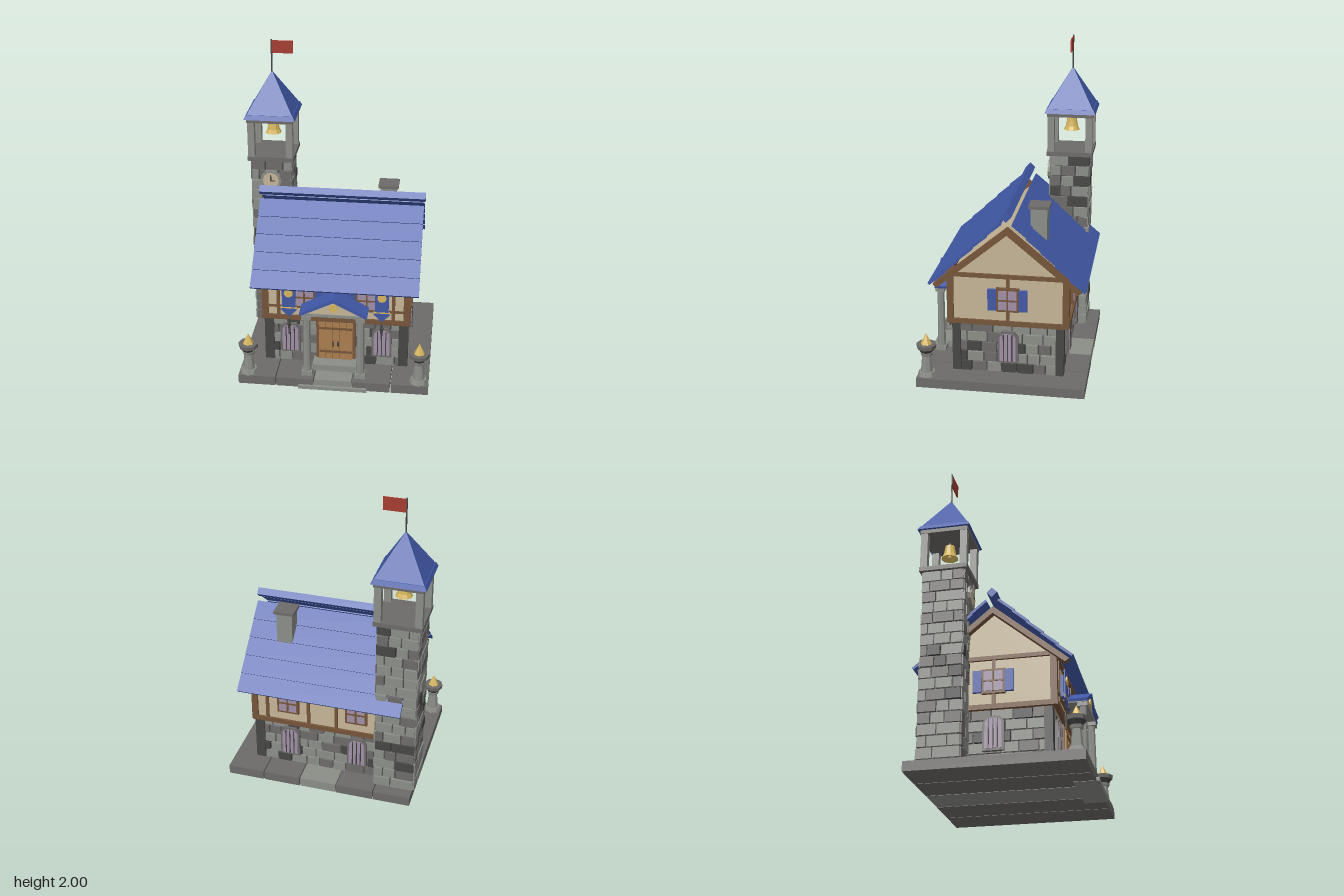
import * as THREE from 'three';
import { mergeGeometries } from 'three/addons/utils/BufferGeometryUtils.js';

const paint = (name, color) => {
  const m = new THREE.MeshStandardMaterial({ color });
  m.name = name;
  return m;
};

export function createModel() {
  const blue = paint('roofBlue', 0x4058a6), cream = paint('plaster', 0xc4b596), wood = paint('timber', 0x75543a);
  const plank = paint('doorWood', 0xab7d4f), light = paint('lightStone', 0x8b8d87), mid = paint('greyStone', 0x6d6b69);
  const dark = paint('darkStone', 0x464645), gold = paint('gold', 0xd6b65e), glass = paint('glass', 0xa08fa6), red = paint('flagRed', 0xa53c31);

  const model = new THREE.Group();
  const group = (name, parent, x = 0, y = 0, z = 0, ry = 0) => {
    const g = new THREE.Group();
    g.name = name;
    g.position.set(x, y, z);
    g.rotation.y = ry;
    parent.add(g);
    return g;
  };
  const add = (name, parent, geo, mat, x = 0, y = 0, z = 0) => {
    const m = new THREE.Mesh(geo, mat);
    m.name = name;
    m.position.set(x, y, z);
    parent.add(m);
    return m;
  };
  const box = (name, parent, mat, w, h, d, x, y, z) => add(name, parent, new THREE.BoxGeometry(w, h, d), mat, x, y, z);
  const faceted = (geo) => {
    const g = geo.toNonIndexed();
    g.computeVertexNormals();
    return g;
  };
  const drum = (name, parent, mat, top, bottom, y0, y1, sides, x = 0, z = 0, turn = 0) => {
    const g = new THREE.CylinderGeometry(top, bottom, y1 - y0, sides).rotateY(turn);
    return add(name, parent, faceted(g), mat, x, (y0 + y1) / 2, z);
  };
  const disc = (name, parent, mat, r, d, x, y, z, sides = 12) =>
    add(name, parent, faceted(new THREE.CylinderGeometry(r, r, d, sides).rotateX(Math.PI / 2)), mat, x, y, z);
  const outline = (pts) => new THREE.Shape(pts.map(([x, y]) => new THREE.Vector2(x, y)));
  const slab = (name, parent, mat, pts, depth, x = 0, y = 0, z = 0) =>
    add(name, parent, new THREE.ExtrudeGeometry(outline(pts), { depth, bevelEnabled: false }), mat, x, y, z);

  let seed = 7;
  const rand = () => (seed = (seed * 16807) % 2147483647) / 2147483647;

  // Courses of uneven stones around a rectangular dark core
  function masonry(name, parent, hx, hz, y0, y1, rows) {
    const g = group(name, parent);
    box('mortar', g, dark, 2 * hx - 0.03, y1 - y0, 2 * hz - 0.03, 0, (y0 + y1) / 2, 0);
    const piles = [[light, []], [mid, []], [dark, []]];
    const h = (y1 - y0) / rows;
    for (let r = 0; r < rows; r++) for (let s = 0; s < 4; s++) {
      const [half, depth] = s % 2 ? [hz, hx] : [hx, hz];
      let u = -half;
      while (u < half - 0.001) {
        let w = 0.07 + rand() * 0.06;
        if (u === -half && r % 2) w *= 0.6;
        if (half - u - w < 0.05) w = half - u;
        const t = 0.03 + rand() * 0.008, k = rand();
        const stone = new THREE.BoxGeometry(w - 0.008, h - 0.008, t);
        stone.translate(u + w / 2, y0 + (r + 0.5) * h, depth - 0.03 + t / 2);
        stone.rotateY(s * Math.PI / 2);
        piles[k < 0.55 ? 0 : k < 0.85 ? 1 : 2][1].push(stone);
        u += w;
      }
    }
    for (const [mat, list] of piles) add('stones', g, mergeGeometries(list), mat);
  }

  // Foundation of five slabs, with the front step
  const base = group('foundation', model);
  for (let i = 0; i < 5; i++)
    box('slab', base, i === 2 ? light : mid, 0.233, 0.06, i === 2 ? 1.025 : 1.029, 0.02 + (i - 2) * 0.2395, 0.032, -0.012);
  box('frontStep', base, light, 0.43, 0.022, 0.15, 0.02, 0.011, 0.445);

  // Main house
  const house = group('house', model, 0.02, 0, -0.042);
  masonry('lowerWall', house, 0.435, 0.33, 0.06, 0.39, 5);
  for (const sx of [-1, 1]) for (const sz of [-1, 1])
    box('cornerPost', house, dark, 0.06, 0.31, 0.05, sx * 0.425, 0.225, sz * 0.318);
  const gable = slab('upperWall', house, cream, [[-0.36, 0.39], [0.36, 0.39], [0.36, 0.68], [0, 0.985], [-0.36, 0.68]], 0.9, -0.45);
  gable.rotation.y = Math.PI / 2;
  for (const sx of [-1, 1]) {
    const barge = slab('bargeBoard', house, wood,
      [[-0.45, 0.645], [-0.425, 0.625], [0, 0.978], [0.425, 0.625], [0.45, 0.645], [0, 1.022]], 0.04, sx * 0.478 - 0.02);
    barge.rotation.y = Math.PI / 2;
    for (const sz of [-1, 1]) box('cornerTimber', house, wood, 0.04, 0.31, 0.04, sx * 0.443, 0.545, sz * 0.352);
  }

  // Overlapping roof boards and ridge
  const roof = group('roof', house);
  for (const sz of [-1, 1]) for (let i = 0; i < 5; i++) {
    const off = 0.04 + 0.0855 * (i + 0.5);
    const b = box('roofBoard', roof, blue, 1.032, 0.016, 0.122, 0, 1.055 - 0.945 * (off - 0.04), sz * off);
    b.rotation.x = sz * 0.7;
  }
  box('ridge', roof, blue, 1.048, 0.045, 0.045, 0, 1.1, 0).rotation.x = Math.PI / 4;

  // Mullioned upper window and barred lower window, facing +z
  function upperWindow(parent, x, y, shutters) {
    const g = group('window', parent, x, y, 0);
    box('frame', g, wood, 0.14, 0.152, 0.022, 0, 0, 0.008);
    box('pane', g, glass, 0.112, 0.122, 0.006, 0, 0, 0.021);
    box('mullion', g, wood, 0.01, 0.13, 0.008, 0, 0, 0.024);
    box('transom', g, wood, 0.12, 0.01, 0.008, 0, 0, 0.024);
    if (shutters) for (const s of [-1, 1]) box('shutter', g, blue, 0.052, 0.135, 0.018, s * 0.095, 0, 0.016);
  }
  const arch = (w, h) => [[-w, -h], [w, -h], [w, h - w * 0.5], [w * 0.6, h], [-w * 0.6, h], [-w, h - w * 0.5]];
  function lowerWindow(parent, x) {
    const g = group('barredWindow', parent, x, 0.24, 0);
    slab('frame', g, mid, arch(0.063, 0.103), 0.022);
    slab('pane', g, glass, arch(0.05, 0.09), 0.004, 0, 0, 0.022);
    for (const s of [-1, 0, 1]) box('bar', g, dark, 0.006, 0.175, 0.008, s * 0.026, 0, 0.026);
  }

  // Timbering and windows on each of the four sides
  for (let s = 0; s < 4; s++) {
    const end = s % 2 === 1, front = s === 0;
    const half = end ? 0.37 : 0.46, out = end ? 0.45 : 0.36;
    const side = group(['frontSide', 'leftSide', 'backSide', 'rightSide'][s], house, 0, 0, 0, s * Math.PI / 2);
    const upper = group('upperStorey', side, 0, 0, out), lower = group('lowerStorey', side, 0, 0, end ? 0.437 : 0.333);
    box('sillBeam', upper, wood, half * 2, 0.03, 0.03, 0, 0.4, 0);
    box('topBeam', upper, wood, half * 2, 0.025, 0.03, 0, 0.703, 0);
    const spots = end ? [0] : front ? [-0.195, 0.195] : [-0.22, 0.22];
    for (const x of spots) upperWindow(upper, x, 0.555, end || front);
    for (const x of end ? [0] : front ? [-0.29, 0.29] : spots) lowerWindow(lower, x);
    for (const x of end ? [0] : front ? [-0.36, -0.065, 0.065, 0.36] : [-0.36, -0.09, 0.09, 0.36])
      box('stud', upper, wood, 0.02, 0.29, 0.02, x, 0.55, 0);
    if (front) box('rail', upper, wood, 0.9, 0.014, 0.02, 0, 0.476, 0);
  }

  // Hanging banners with lantern brackets below
  for (const s of [-1, 1]) {
    const g = group('banner', house, s * 0.29, 0, 0.39);
    slab('cloth', g, blue, [[-0.042, 0.65], [-0.042, 0.485], [-0.05, 0.47], [0, 0.42], [0.05, 0.47], [0.042, 0.485], [0.042, 0.65]], 0.008);
    box('trim', g, gold, 0.1, 0.008, 0.008, 0, 0.485, 0.006);
    disc('emblem', g, gold, 0.028, 0.008, 0, 0.59, 0.011);
    drum('lanternStem', g, dark, 0.006, 0.006, 0.29, 0.4, 6);
    drum('lantern', g, dark, 0.014, 0.008, 0.335, 0.37, 6);
  }

  // Door
  const door = group('door', house, 0, 0, 0.335);
  box('doorFrame', door, wood, 0.25, 0.3, 0.03, 0, 0.245, 0);
  for (let i = 0; i < 5; i++) box('plank', door, plank, 0.041, 0.28, 0.02, (i - 2) * 0.0435, 0.24, 0.016);
  for (const y of [0.16, 0.33]) box('strap', door, wood, 0.21, 0.014, 0.008, 0, y, 0.027);
  for (const s of [-1, 1]) box('handle', door, dark, 0.01, 0.03, 0.014, s * 0.015, 0.22, 0.03);
  box('doorStep', door, light, 0.28, 0.045, 0.11, 0, 0.082, 0.05);

  // Porch with two columns and a small gabled roof
  const porch = group('porch', model, 0.02, 0, 0);
  slab('porchRoof', porch, blue, [[-0.21, 0.512], [-0.205, 0.495], [0, 0.598], [0.205, 0.495], [0.21, 0.512], [0, 0.622]], 0.145, 0, 0, 0.32);
  slab('pediment', porch, cream, [[-0.18, 0.505], [0.18, 0.505], [0, 0.596]], 0.13, 0, 0, 0.32);
  box('lintel', porch, light, 0.4, 0.018, 0.14, 0, 0.5, 0.388);
  disc('emblem', porch, gold, 0.027, 0.01, 0, 0.557, 0.454);
  for (const s of [-1, 1]) {
    const c = group('column', porch, s * 0.167, 0, 0.432);
    box('foot', c, light, 0.066, 0.03, 0.066, 0, 0.077, 0);
    drum('shaft', c, light, 0.022, 0.026, 0.09, 0.47, 8);
    box('capital', c, light, 0.06, 0.024, 0.06, 0, 0.48, 0);
  }

  // Chimney
  const chimney = group('chimney', model, 0.303, 0, -0.211);
  box('stack', chimney, light, 0.1, 0.32, 0.1, 0, 0.94, 0);
  box('cap', chimney, mid, 0.128, 0.018, 0.128, 0, 1.106, 0);

  // Bell tower
  const tower = group('bellTower', model, -0.455, 0, -0.32);
  masonry('shaft', tower, 0.127, 0.127, 0.06, 1.24, 17);
  box('platform', tower, mid, 0.294, 0.028, 0.294, 0, 1.252, 0);
  box('topFrame', tower, mid, 0.294, 0.024, 0.294, 0, 1.508, 0);
  for (const sx of [-1, 1]) for (const sz of [-1, 1])
    box('pillar', tower, light, 0.043, 0.235, 0.043, sx * 0.122, 1.38, sz * 0.122);
  const q = Math.SQRT2;
  drum('eave', tower, blue, 0.15 * q, 0.163 * q, 1.52, 1.548, 4, 0, 0, Math.PI / 4);
  drum('spire', tower, blue, 0.001, 0.147 * q, 1.545, 1.797, 4, 0, 0, Math.PI / 4);
  drum('flagPole', tower, dark, 0.005, 0.005, 1.78, 2, 6);
  box('flag', tower, red, 0.133, 0.08, 0.008, 0.069, 1.953, 0);

  // Bell
  const bellLine = [[0, 1.475], [0.03, 1.47], [0.034, 1.44], [0.04, 1.41], [0.052, 1.385], [0.044, 1.385], [0, 1.44]];
  const bell = new THREE.LatheGeometry(bellLine.reverse().map(([x, y]) => new THREE.Vector2(x, y)), 10);
  add('bell', tower, faceted(bell), gold);
  drum('bellHanger', tower, dark, 0.008, 0.008, 1.47, 1.5, 6);
  add('clapper', tower, new THREE.SphereGeometry(0.012, 8, 6), gold, 0, 1.395, 0);

  // Clock
  const clock = group('clock', tower, 0, 1.108, 0.13);
  disc('clockRim', clock, light, 0.068, 0.024, 0, 0, 0.006);
  disc('clockFace', clock, cream, 0.052, 0.008, 0, 0, 0.018);
  box('minuteHand', clock, dark, 0.007, 0.042, 0.004, 0, 0.019, 0.024);
  box('hourHand', clock, dark, 0.028, 0.007, 0.004, 0.013, 0, 0.024);

  // Braziers at the front corners
  for (const x of [-0.516, 0.553]) {
    const b = group('brazier', model, x, 0, 0.447);
    drum('foot', b, light, 0.05, 0.058, 0.06, 0.088, 8);
    drum('stem', b, light, 0.028, 0.038, 0.088, 0.195, 8);
    drum('collar', b, light, 0.042, 0.036, 0.195, 0.215, 8);
    drum('bowl', b, dark, 0.056, 0.036, 0.215, 0.245, 8);
    drum('rim', b, mid, 0.063, 0.06, 0.243, 0.268, 8);
    drum('flame', b, gold, 0.001, 0.038, 0.262, 0.335, 6);
  }
  return model;
}
